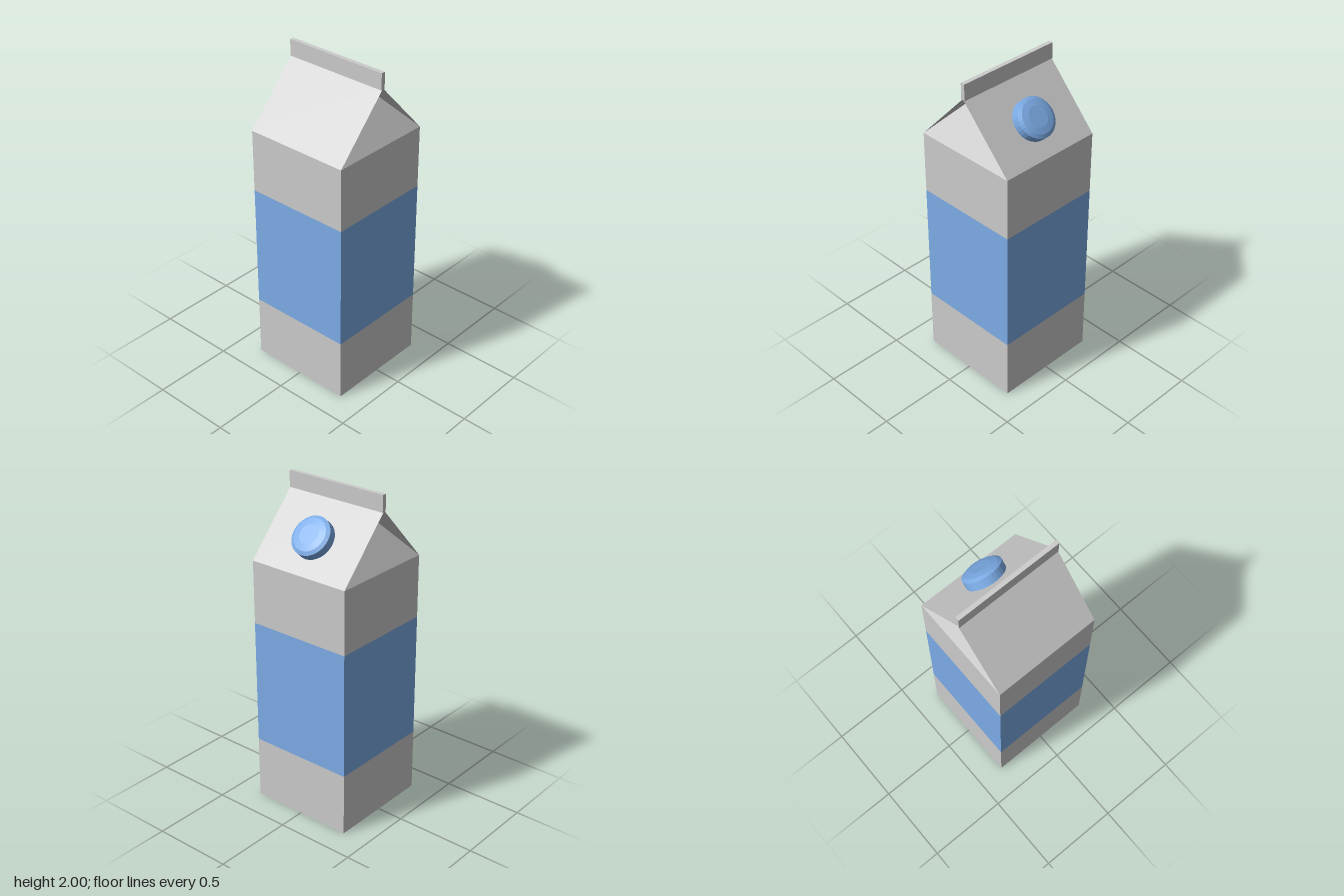
import * as THREE from 'three';

const HALF = 0.333;   // half width of the square carton
const EAVE = 1.55;    // top of the upright walls
const RIDGE = 1.908;  // roof ridge height
const TUCK = 0.227;   // how far the gable tops fold inward

const grey = new THREE.MeshStandardMaterial({ color: 0xcccccc, flatShading: true });
const paper = new THREE.MeshStandardMaterial({ color: 0xcccccc, flatShading: true, side: THREE.DoubleSide });
const blue = new THREE.MeshStandardMaterial({ color: 0x7cace7, flatShading: true });

function add(parent, name, geometry, material) {
  const mesh = new THREE.Mesh(geometry, material);
  mesh.name = name;
  parent.add(mesh);
  return mesh;
}

// Flat convex panel from its corners, counter-clockwise seen from outside
function panel(corners) {
  const geometry = new THREE.BufferGeometry().setFromPoints(corners.map((c) => new THREE.Vector3(...c)));
  const index = [];
  for (let i = 1; i < corners.length - 1; i++) index.push(0, i, i + 1);
  geometry.setIndex(index);
  geometry.computeVertexNormals();
  return geometry;
}

export function createModel() {
  const carton = new THREE.Group();
  carton.name = 'milkCarton';

  // Upright body in three stacked sections, flush with each other
  const sections = [
    ['lowerBody', 0, 0.39, grey],
    ['labelBand', 0.39, 1.163, blue],
    ['upperBody', 1.163, EAVE, grey],
  ];
  for (const [name, y0, y1, material] of sections) {
    const box = new THREE.BoxGeometry(HALF * 2, y1 - y0, HALF * 2);
    add(carton, name, box, material).position.y = (y0 + y1) / 2;
  }

  // Roof slopes and tucked-in gables, repeated by a half turn
  const slope = panel([[HALF, EAVE, HALF], [HALF, EAVE, -HALF], [0, RIDGE, -HALF], [0, RIDGE, HALF]]);
  const gable = panel([[-HALF, EAVE, HALF], [HALF, EAVE, HALF], [0, RIDGE, HALF - TUCK]]);
  const roof = new THREE.Group();
  roof.name = 'roof';
  carton.add(roof);
  ['left', 'right'].forEach((side, i) => {
    add(roof, `${side}RoofPanel`, slope, paper).rotation.y = i * Math.PI;
  });
  ['front', 'back'].forEach((side, i) => {
    add(roof, `${side}Gable`, gable, paper).rotation.y = i * Math.PI;
  });

  // Sealed fin along the ridge
  add(carton, 'topFin', new THREE.BoxGeometry(0.026, 0.1, HALF * 2), grey).position.y = 1.95;

  // Screw cap with a bevelled top, standing square to the left slope
  const profile = [[0, -0.004], [0.122, -0.004], [0.122, 0.052], [0.101, 0.064], [0.062, 0.071], [0, 0.071]]
    .map(([x, y]) => new THREE.Vector2(x, y));
  const cap = add(carton, 'cap', new THREE.LatheGeometry(profile, 32), blue);
  const normal = new THREE.Vector3(RIDGE - EAVE, HALF, 0).normalize();
  const capX = 0.181;
  cap.position.set(capX, RIDGE - (capX * (RIDGE - EAVE)) / HALF, 0);
  cap.quaternion.setFromUnitVectors(new THREE.Vector3(0, 1, 0), normal);

  return carton;
}
